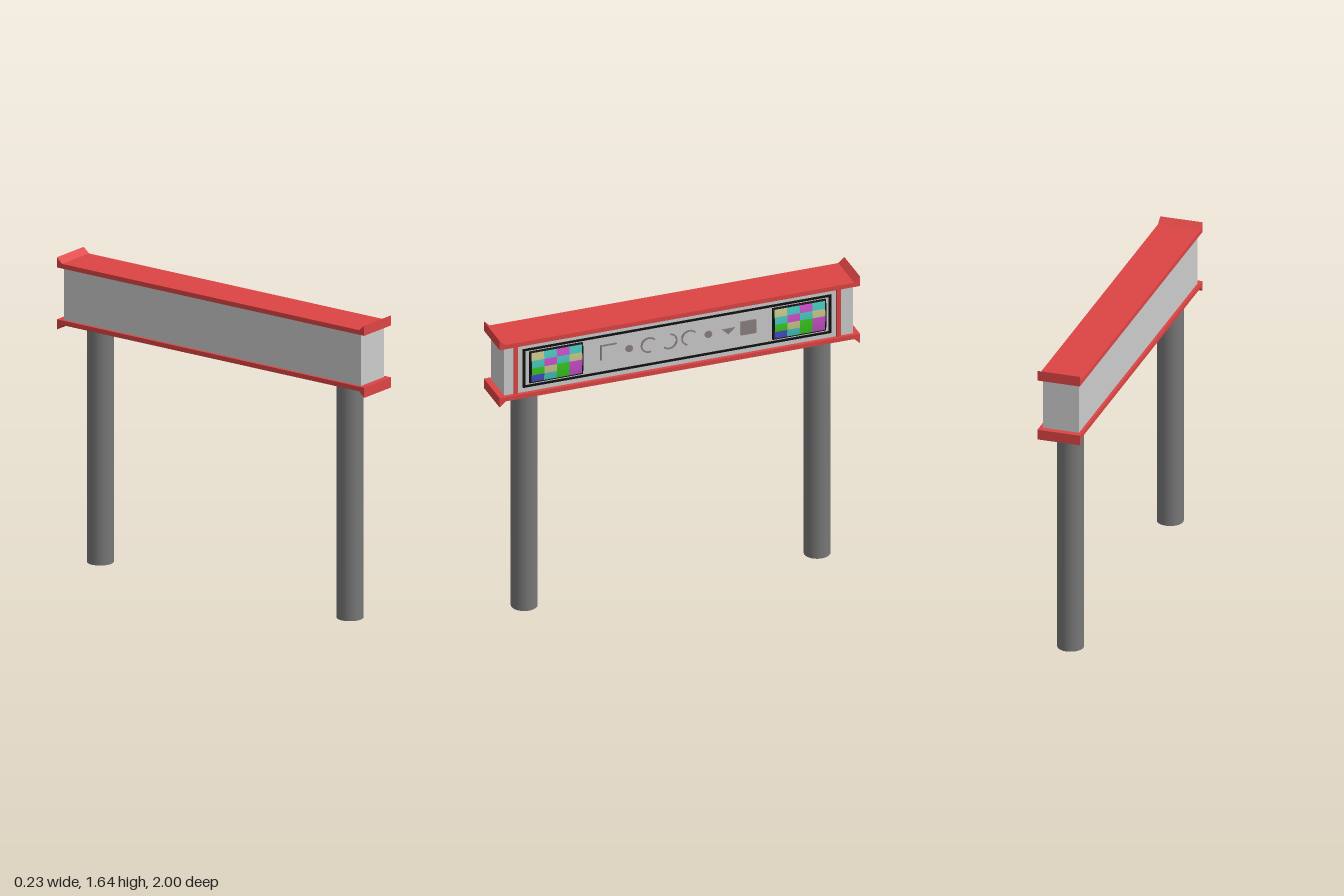
import * as THREE from 'three';

const mat = (color, side = THREE.FrontSide) => new THREE.MeshStandardMaterial({ color, side });
const RED = mat(0xdd4444), GREY = mat(0xcccccc), BLACK = mat(0x111111);
const POLE = mat(0x777777), SYMBOL = mat(0x8c7f7f);

// The sign is built facing local +z, then the whole group is turned to face +x.
export function createModel() {
  const sign = new THREE.Group();
  sign.name = 'gantrySign';
  sign.rotation.y = Math.PI / 2;

  const add = (name, geo, material, x = 0, y = 0, z = 0) => {
    const m = new THREE.Mesh(geo, material);
    m.name = name;
    m.position.set(x, y, z);
    sign.add(m);
    return m;
  };
  // Box given by its two extreme corners
  const box = (name, material, x0, x1, y0, y1, z0, z1) =>
    add(name, new THREE.BoxGeometry(x1 - x0, y1 - y0, z1 - z0), material,
      (x0 + x1) / 2, (y0 + y1) / 2, (z0 + z1) / 2);
  const polygon = (pts) => new THREE.Shape(pts.map(([x, y]) => new THREE.Vector2(x, y)));
  const extrude = (shape, depth) =>
    new THREE.ExtrudeGeometry(shape, { depth, bevelEnabled: false, curveSegments: 20 });

  // Support poles
  for (const x of [-0.82, 0.805])
    add('pole', new THREE.CylinderGeometry(0.07, 0.07, 1.29, 32), POLE, x, 0.645, 0);

  // Cabinet
  box('cabinet', GREY, -0.967, 0.967, 1.3, 1.6, -0.1, 0.096);

  // Top and bottom plates with flared ends
  for (const [name, y, s] of [['topPlate', 1.59, 1], ['bottomPlate', 1.308, -1]]) {
    const pts = [[-1, 0], [1, 0], [1, 0.055], [0.967, 0.025], [-0.967, 0.025], [-1, 0.055]];
    add(name, extrude(polygon(pts.map(([px, py]) => [px, s * py])), 0.232), RED, 0, y, -0.116);
  }

  // Red uprights beside the display
  for (const x of [-0.905, 0.885])
    box('upright', RED, x - 0.011, x + 0.011, 1.305, 1.593, 0.09, 0.107);

  // Black display border
  const border = polygon([[-0.865, 1.336], [0.847, 1.336], [0.847, 1.561], [-0.865, 1.561]]);
  border.holes.push(polygon([[-0.852, 1.347], [-0.852, 1.55], [0.832, 1.55], [0.832, 1.347]]));
  add('displayBorder', extrude(border, 0.008), BLACK, 0, 0, 0.095);

  // Curved colour screens
  const palette = {
    K: mat(0xc8c88c), T: mat(0x48c8c0), M: mat(0xcc50cc), G: mat(0x38cc20), B: mat(0x4a50cc),
  };
  const rows = ['KTMT', 'TMTK', 'GKGM', 'BTGM'];
  const yMid = 1.449, half = 0.092;
  const bulge = (y) => 0.104 + 0.01 * (1 - (y / half) ** 2);
  for (const xMid of [-0.681, 0.667]) {
    // Housing profile is (depth, height), swept across the screen width
    const pts = [[0.09, -half]];
    for (let i = 0; i <= 12; i++) {
      const y = half * (i / 6 - 1);
      pts.push([bulge(y), y]);
    }
    pts.push([0.09, half]);
    const housing = extrude(polygon(pts), 0.296);
    housing.rotateY(-Math.PI / 2);
    add('screenHousing', housing, BLACK, xMid + 0.148, yMid, 0);

    const w = 0.07, h = 0.0425;
    rows.forEach((row, r) => [...row].forEach((key, c) => {
      const cell = new THREE.PlaneGeometry(w, h, 1, 4);
      cell.translate((c - 1.5) * w, (1.5 - r) * h, 0);
      const p = cell.attributes.position;
      for (let i = 0; i < p.count; i++) p.setZ(i, bulge(p.getY(i)) + 0.0015);
      cell.computeVertexNormals();
      add('screenTile', cell, palette[key], xMid, yMid, 0);
    }));
  }

  // Raised symbols between the screens
  const zs = 0.095, depth = 0.007;
  const symbol = (name, shape, x, y) => add(name, extrude(shape, depth), SYMBOL, x, y, zs);
  const arcBand = (r, a0, a1) => {
    const s = new THREE.Shape();
    s.absarc(0, 0, r, a0, a1, false);
    s.absarc(0, 0, r - 0.008, a1, a0, true);
    return s;
  };
  symbol('angleSymbol', polygon([[0, -0.088], [0.008, -0.088], [0.008, -0.008],
    [0.09, -0.008], [0.09, 0], [0, 0]]), -0.435, 1.503);
  for (const x of [-0.275, 0.165]) {
    const dot = new THREE.Shape();
    dot.absarc(0, 0, 0.02, 0, Math.PI * 2, false);
    symbol('dotSymbol', dot, x, 1.455);
  }
  for (const [x, a0, a1] of [[-0.165, 0.7, 5.0], [-0.052, -2.3, 1.4], [0.06, 0.7, 4.4]])
    symbol('arcSymbol', arcBand(0.045, a0, a1), x, 1.455);
  symbol('triangleSymbol', polygon([[-0.036, 0.016], [0, -0.018], [0.036, 0.016]]), 0.275, 1.453);
  symbol('squareSymbol', polygon([[-0.042, -0.04], [0.042, -0.04], [0.042, 0.04],
    [-0.042, 0.04]]), 0.387, 1.455);

  const model = new THREE.Group();
  model.name = 'model';
  model.add(sign);
  return model;
}
